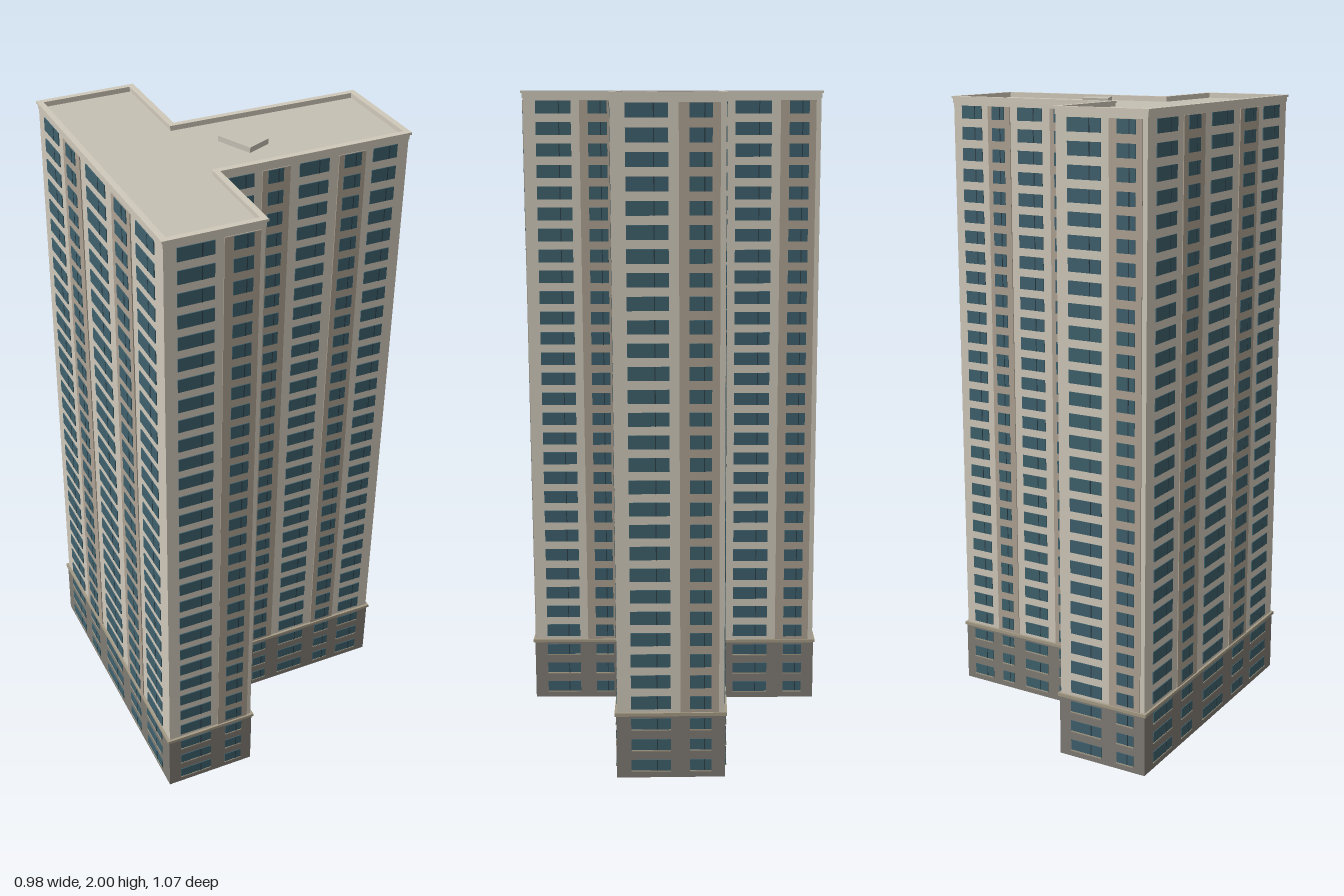
import * as THREE from 'three';
import { mergeGeometries } from 'three/addons/utils/BufferGeometryUtils.js';

const mat = (name, color) => {
  const m = new THREE.MeshStandardMaterial({ color });
  m.name = name;
  return m;
};

// Wall corners [x, z], left to right as seen from outside
const corners = [[-0.478, 0.143], [0.36, 0.523], [0.478, 0.266], [0.21, 0.142],
  [0.455, -0.398], [0.165, -0.526], [-0.08, 0.0], [-0.358, -0.127]];
const N = corners.length;

const faces = corners.map((a, i) => {
  const b = corners[(i + 1) % N];
  const len = Math.hypot(b[0] - a[0], b[1] - a[1]);
  const d = [(b[0] - a[0]) / len, (b[1] - a[1]) / len];
  return { a, d, n: [-d[1], d[0]], len };
});

// Footprint grown outward by o, with mitred corners
function outline(o) {
  return corners.map((p, i) => {
    const n1 = faces[(i + N - 1) % N].n, n2 = faces[i].n;
    const k = o / (1 + n1[0] * n2[0] + n1[1] * n2[1]);
    return new THREE.Vector2(p[0] + (n1[0] + n2[0]) * k, -(p[1] + (n1[1] + n2[1]) * k));
  });
}

function prism(grow, y0, y1, hole) {
  const shape = new THREE.Shape(outline(grow));
  if (hole !== undefined) shape.holes.push(new THREE.Path(outline(hole)));
  const g = new THREE.ExtrudeGeometry(shape, { depth: y1 - y0, bevelEnabled: false });
  return g.rotateX(-Math.PI / 2).translate(0, y0, 0);
}

// Thin plate on a face between fractions t0..t1, standing out by 'out'
function plate(f, t0, t1, y0, y1, out) {
  const inset = 0.002, depth = out + inset;
  const g = new THREE.BoxGeometry((t1 - t0) * f.len, y1 - y0, depth);
  g.rotateY(Math.atan2(-f.d[1], f.d[0]));
  const s = (t0 + t1) / 2 * f.len, o = out - depth / 2;
  return g.translate(f.a[0] + f.d[0] * s + f.n[0] * o, (y0 + y1) / 2, f.a[1] + f.d[1] * s + f.n[1] * o);
}

// Bays: window span, and band span where the bay is darker
const longBays = [
  { win: [0.055, 0.185] }, { win: [0.256, 0.335], band: [0.227, 0.371] },
  { win: [0.42, 0.575] }, { win: [0.655, 0.745], band: [0.627, 0.77] },
  { win: [0.81, 0.94] }];
const shortBays = [{ win: [0.13, 0.5] }, { win: [0.68, 0.88], band: [0.59, 0.95] }];

export function createModel() {
  const group = new THREE.Group();
  const pale = mat('pale wall', 0xd0c9ba);
  const tan = mat('tan band', 0xaea292);
  const stone = mat('base stone', 0x807b74);
  const glass = mat('window glass', 0x3e606c);
  const frame = mat('window frame', 0x2c3f48);
  const roofMat = mat('roof', 0xc6c1b4);
  const trim = mat('ledge trim', 0xa59b86);
  const add = (name, geometry, material) => {
    const m = new THREE.Mesh(geometry, material);
    m.name = name;
    group.add(m);
  };

  // Body, base and ledges
  add('base', prism(0.003, 0, 0.197), stone);
  add('baseLedge', prism(0.008, 0.197, 0.207), trim);
  add('tower', prism(0, 0.207, 1.978), pale);
  add('roof', prism(-0.006, 1.978, 1.984), roofMat);
  add('parapet', prism(0.002, 1.978, 1.993, -0.01), pale);
  add('parapetCap', prism(0.006, 1.993, 2, -0.012), pale);
  add('roofHatch', new THREE.BoxGeometry(0.117, 0.016, 0.08).translate(0.127, 1.992, -0.065), roofMat);

  // Facade bays
  const bands = [], panes = [], mullions = [], sills = [];
  for (const f of faces) {
    for (const { win, band } of f.len > 0.45 ? longBays : shortBays) {
      if (band) bands.push(plate(f, band[0], band[1], 0.207, 1.972, 0.003));
      const [t0, t1] = win;
      for (let row = 0; row < 30; row++) {
        const y = 0.04 + row * 0.0659;
        const out = band || row < 3 ? 0.0055 : 0.003;
        const h = row < 3 ? 0.017 : 0.02;
        panes.push(plate(f, t0, t1, y - h, y + h, out));
        const m = t0 + (t1 - t0) * 0.66, w = 0.003 / f.len;
        mullions.push(plate(f, m - w / 2, m + w / 2, y - h, y + h, out + 0.001));
        if (row < 3) sills.push(plate(f, t0, t1, y - h - 0.004, y - h, 0.007));
      }
    }
  }
  add('wallBands', mergeGeometries(bands), tan);
  add('windows', mergeGeometries(panes), glass);
  add('windowMullions', mergeGeometries(mullions), frame);
  add('baseSills', mergeGeometries(sills), trim);
  return group;
}
